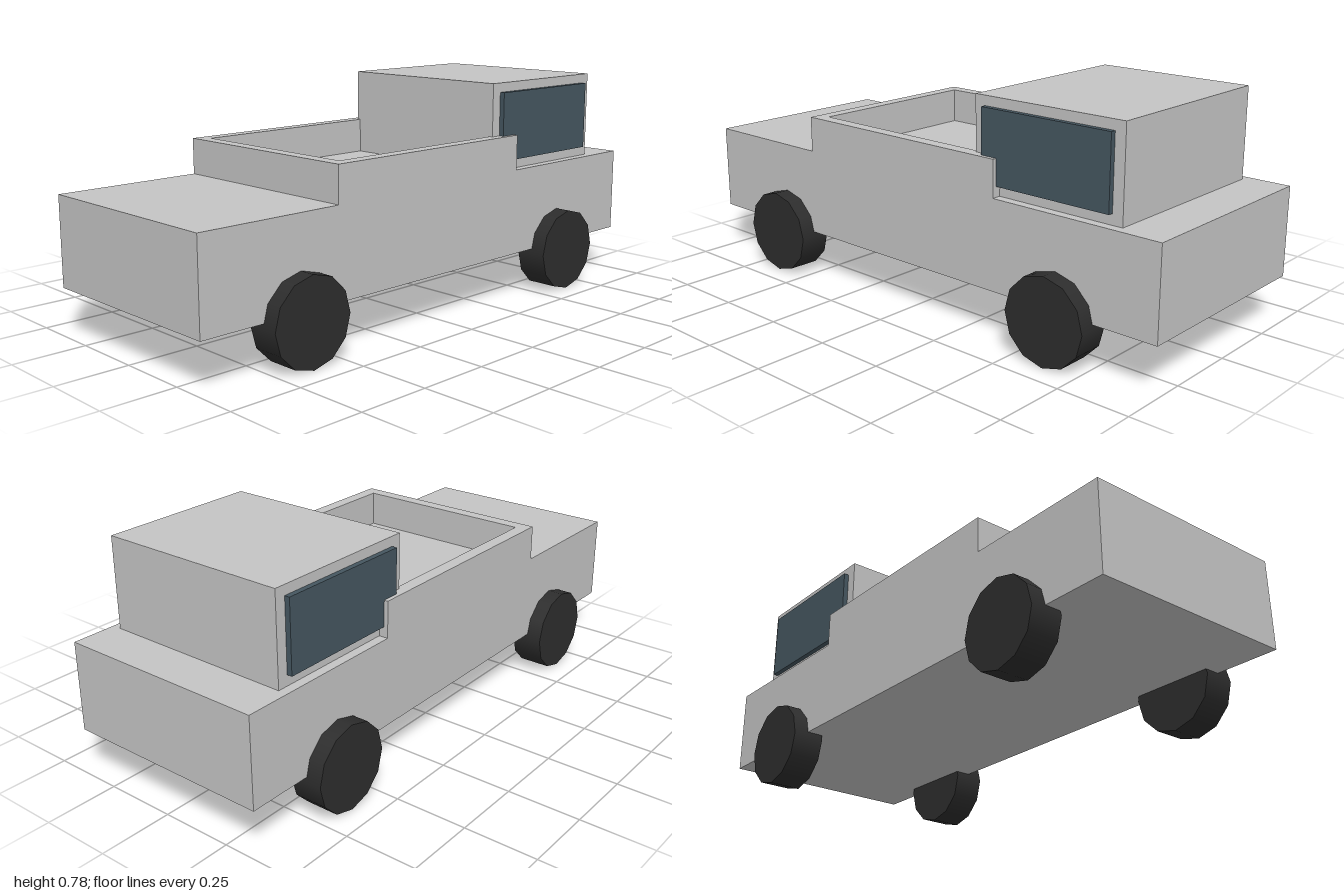
import * as THREE from 'three';

const paint = new THREE.MeshStandardMaterial({ color: 0xc4c4c4 });
paint.name = 'bodyGrey';
const glass = new THREE.MeshStandardMaterial({ color: 0x455660 });
glass.name = 'windowBlue';
const rubber = new THREE.MeshStandardMaterial({ color: 0x2d2d2d });
rubber.name = 'tyreBlack';

// Box given by its lower and upper limits on each axis
function box(name, material, [x0, x1], [y0, y1], [z0, z1]) {
  const mesh = new THREE.Mesh(new THREE.BoxGeometry(x1 - x0, y1 - y0, z1 - z0), material);
  mesh.position.set((x0 + x1) / 2, (y0 + y1) / 2, (z0 + z1) / 2);
  mesh.name = name;
  return mesh;
}

// Rectangle outline in plan; shape y becomes -z once laid flat
function rectangle(path, halfWidth, zBack, zFront) {
  path.moveTo(-halfWidth, -zFront);
  path.lineTo(halfWidth, -zFront);
  path.lineTo(halfWidth, -zBack);
  path.lineTo(-halfWidth, -zBack);
  path.closePath();
  return path;
}

export function createModel() {
  const model = new THREE.Group();
  model.name = 'pickup';

  // Long lower body
  model.add(box('lowerBody', paint, [-0.37, 0.37], [0.165, 0.472], [-1, 1]));

  // Open tub with a raised rim
  const rim = rectangle(new THREE.Shape(), 0.37, -0.385, 0.478);
  rim.holes.push(rectangle(new THREE.Path(), 0.325, -0.34, 0.433));
  const tubGeometry = new THREE.ExtrudeGeometry(rim, { depth: 0.125, bevelEnabled: false });
  tubGeometry.rotateX(-Math.PI / 2);
  const tub = new THREE.Mesh(tubGeometry, paint);
  tub.name = 'tubWalls';
  tub.position.y = 0.472;
  model.add(tub);

  // Cab
  model.add(box('cab', paint, [-0.338, 0.338], [0.472, 0.783], [-0.847, -0.285]));

  // Wheel pairs and side windows
  const wheelGeometry = new THREE.CylinderGeometry(0.148, 0.148, 0.113, 12);
  wheelGeometry.rotateZ(Math.PI / 2);
  for (const [side, label] of [[1, 'left'], [-1, 'right']]) {
    const xs = [0.33 * side, 0.356 * side].sort((a, b) => a - b);
    model.add(box(label + 'Window', glass, xs, [0.507, 0.75], [-0.81, -0.323]));
    for (const [z, end] of [[0.631, 'Front'], [-0.631, 'Rear']]) {
      const wheel = new THREE.Mesh(wheelGeometry, rubber);
      wheel.name = label + end + 'Wheel';
      wheel.position.set(0.369 * side, 0.148, z);
      model.add(wheel);
    }
  }
  return model;
}
